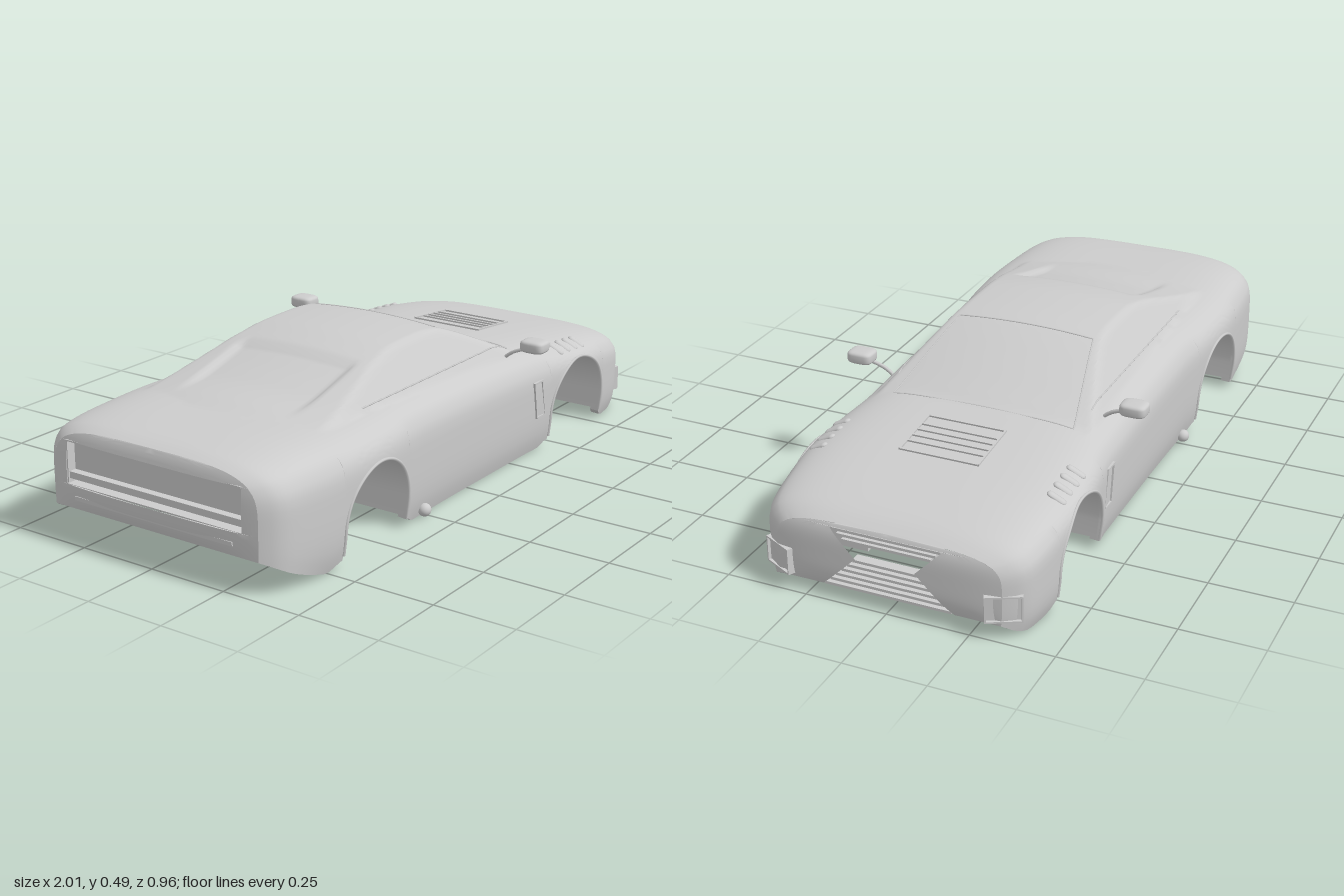
import * as THREE from 'three';
import { toCreasedNormals } from 'three/addons/utils/BufferGeometryUtils.js';

const { smoothstep, lerp } = THREE.MathUtils;

// Smooth curve through [x, value] points without overshoot
function curve(p) {
  const d = p.slice(1).map((q, i) => (q[1] - p[i][1]) / (q[0] - p[i][0]));
  const m = p.map((_, i) => i === 0 ? d[0] : i === p.length - 1 ? d[i - 1]
    : d[i - 1] * d[i] <= 0 ? 0 : 2 * d[i - 1] * d[i] / (d[i - 1] + d[i]));
  return (x) => {
    if (x <= p[0][0]) return p[0][1];
    if (x >= p[p.length - 1][0]) return p[p.length - 1][1];
    let i = 0;
    while (x > p[i + 1][0]) i++;
    const h = p[i + 1][0] - p[i][0], t = (x - p[i][0]) / h, u = 1 - t;
    return p[i][1] * (1 + 2 * t) * u * u + m[i] * h * t * u * u
      + p[i + 1][1] * t * t * (3 - 2 * t) - m[i + 1] * h * t * t * u;
  };
}

// Outlines along the length of the car
const END = 0.985, ARCH_R = 0.165, ARCH_Y = 0.1, ARCHES = [-0.53, 0.62];
const width = curve([[-END, 0.36], [-0.95, 0.398], [-0.9, 0.415], [-0.8, 0.425], [-0.6, 0.436], [-0.42, 0.426],
  [-0.28, 0.408], [0, 0.404], [0.36, 0.405], [0.5, 0.42], [0.64, 0.432], [0.8, 0.42], [0.9, 0.405], [0.95, 0.385], [END, 0.34]]);
const deck = curve([[-END, 0.35], [-0.95, 0.362], [-0.8, 0.373], [-0.5, 0.375], [0, 0.365], [0.38, 0.345],
  [0.6, 0.327], [0.8, 0.302], [0.9, 0.282], [0.95, 0.267], [END, 0.248]]);
const sill = curve([[-END, 0.108], [-0.9, 0.06], [-0.8, 0.02], [-0.75, 0.006], [-0.7, 0.025], [-0.36, 0.03], [-0.31, 0.006],
  [0.41, 0.006], [0.45, 0.03], [0.79, 0.03], [0.82, 0.004], [0.9, 0.004], [0.95, 0.018], [END, 0.045]]);
const roof = curve([[-0.8, 0.36], [-0.6, 0.395], [-0.45, 0.432], [-0.3, 0.472], [-0.18, 0.49], [-0.05, 0.492],
  [0.04, 0.485], [0.1, 0.467], [0.2, 0.427], [0.3, 0.383], [0.38, 0.347], [0.42, 0.32]]);

const waist = (x) => deck(x) * 0.55;
function bottom(x) {
  const c = ARCHES.find((a) => Math.abs(x - a) <= ARCH_R);
  return c === undefined ? sill(x) : ARCH_Y + Math.sqrt(Math.max(0, ARCH_R ** 2 - (x - c) ** 2));
}
// Half width of the side at a height
function sideZ(x, y) {
  const m = waist(x), w = width(x);
  if (y < m) return w * (1 - 0.05 * ((m - y) / m) ** 4);
  return w * Math.max(0, 1 - ((y - m) / (deck(x) - m)) ** 4) ** 0.25;
}
// Height of the upper surface: lower body joined with the cabin
function topY(x, z) {
  const m = waist(x), a = Math.abs(z);
  const body = m + (deck(x) - m) * Math.max(0, 1 - (a / width(x)) ** 4) ** 0.25;
  if (x < -0.8 || x > 0.42) return body;
  const recess = 0.014 * smoothstep(-x, 0.32, 0.36) * (1 - smoothstep(-x, 0.5, 0.66)) * (1 - smoothstep(a, 0.19, 0.215));
  const r = roof(x) - 0.012 * (a / 0.23) ** 2 - recess, s = 0.49 - (a - 0.23) * 1.44, k = 0.012;
  const h = Math.max(k - Math.abs(r - s), 0) / k;
  return Math.max(body, Math.min(r, s) - h * h * k / 4);
}

// Surface through rows of [x, y, z] points
function grid(rows, crease = 0.6) {
  const n = rows[0].length, idx = [];
  for (let i = 0; i < rows.length - 1; i++) for (let j = 0; j < n - 1; j++) {
    const a = i * n + j, b = a + n;
    idx.push(a, b, a + 1, b, b + 1, a + 1);
  }
  const g = new THREE.BufferGeometry();
  g.setAttribute('position', new THREE.Float32BufferAttribute(rows.flat(2), 3));
  g.setIndex(idx);
  return toCreasedNormals(g, crease);
}

function section(x) {
  const yb = bottom(x), yk = waist(x) + (deck(x) - waist(x)) * 0.7, zk = sideZ(x, yk);
  const half = [[x, yb + 0.002, sideZ(x, yb) - 0.03]];
  for (let i = 0; i <= 10; i++) { const y = lerp(yb, yk, i / 10); half.push([x, y, sideZ(x, y)]); }
  for (let i = 1; i <= 36; i++) { const z = zk * (1 - i / 36); half.push([x, topY(x, z), z]); }
  return [...half, ...half.slice(0, -1).reverse().map(([a, b, c]) => [a, b, -c])];
}

// Bulged end panel, with an opening of half width gap(y)
function endPanel(dir, ys, gap, side) {
  const x = dir * END, top = deck(x), low = sill(x);
  return grid(ys.map((y) => {
    const z1 = sideZ(x, y), z0 = Math.min(gap(y), z1), v = Math.abs(2 * (y - low) / (top - low) - 1);
    return Array.from({ length: 15 }, (_, i) => {
      const z = lerp(z0, z1, i / 14), u = z1 ? z / z1 : 1;
      return [x + dir * 0.015 * (1 - u ** 4) * (1 - v ** 4), y, z * side];
    });
  }));
}
const steps = (a, b, n) => Array.from({ length: n + 1 }, (_, i) => lerp(a, b, i / n));

export function createModel() {
  const car = new THREE.Group();
  car.name = 'carBody';
  const paint = new THREE.MeshStandardMaterial({ color: 0xcccccc, side: THREE.DoubleSide });
  paint.name = 'light grey';
  const add = (name, geo, x = 0, y = 0, z = 0) => {
    const m = new THREE.Mesh(geo, paint);
    m.name = name;
    m.position.set(x, y, z);
    car.add(m);
    return m;
  };
  const box = (name, w, h, d, x, y, z) => add(name, new THREE.BoxGeometry(w, h, d), x, y, z);
  const tube = (name, pts, r) => add(name, new THREE.TubeGeometry(
    new THREE.CatmullRomCurve3(pts.map((p) => new THREE.Vector3(...p))), pts.length * 2, r, 6));

  // Main shell, with extra sections around the wheel arches
  let xs = steps(-END, END, 90).filter((x) => ARCHES.every((c) => Math.abs(x - c) > ARCH_R + 0.004));
  for (const c of ARCHES) {
    for (let i = 0; i <= 28; i++) xs.push(c - (ARCH_R - 1e-6) * Math.cos(Math.PI * i / 28));
    xs.push(c - ARCH_R - 0.001, c + ARCH_R + 0.001);
  }
  xs.sort((a, b) => a - b);
  add('bodyShell', grid(xs.map(section)));

  // Nose with hourglass opening, tail with wide recess
  const grille = (y) => y > 0.2355 ? 0 : y < 0.155 ? lerp(0.2, 0.09, (y - 0.045) / 0.11) : lerp(0.09, 0.17, (y - 0.155) / 0.08);
  const noseRows = [...steps(0.045, 0.155, 8), ...steps(0.165, 0.235, 6), 0.236, 0.24, 0.244, 0.248];
  const tailGap = (y) => y > 0.18 && y < 0.31 ? 0.31 : 0;
  const tailRows = [...steps(0.108, 0.18, 5), ...steps(0.181, 0.309, 8), ...steps(0.31, 0.35, 8)];
  for (const s of [-1, 1]) {
    add('nosePanel', endPanel(1, noseRows, grille, s));
    add('tailPanel', endPanel(-1, tailRows, tailGap, s));
  }
  for (const y of [0.052, 0.07, 0.088, 0.106, 0.124, 0.142, 0.2, 0.215, 0.23])
    box('grilleSlat', 0.03, 0.008, 2 * grille(y), 0.975, y, 0);

  // Tail recess
  box('tailRecessBack', 0.008, 0.13, 0.62, -0.955, 0.245, 0);
  for (const y of [0.18, 0.31]) box('tailRecessEdge', 0.04, 0.004, 0.62, -0.972, y, 0);
  for (const z of [-0.31, 0.31]) box('tailRecessEnd', 0.035, 0.13, 0.004, -0.97, 0.245, z);
  box('tailBar', 0.025, 0.02, 0.62, -0.97, 0.205, 0);
  box('rearBumperStrip', 0.012, 0.012, 0.56, -0.99, 0.145, 0);

  // Hood vent: raised frame and slats lying on the hood
  const slope = Math.atan2(deck(0.66) - deck(0.48), 0.18);
  const onHood = (name, w, d, x, z) => {
    box(name, w, 0.008, d, x, topY(x, z) + 0.001, z).rotation.z = slope;
  };
  for (const z of [-0.122, 0.122]) onHood('hoodVentSide', 0.19, 0.006, 0.57, z);
  for (const x of [0.478, 0.525, 0.555, 0.586, 0.617, 0.662]) onHood('hoodVentSlat', 0.007, 0.244, x, 0);

  // Window seams
  const seam = (pts) => tube('windowSeam', pts.map(([x, z]) => [x, topY(x, z), z]), 0.0025);
  for (const x of [0.378, 0.06]) {
    const w = x > 0.2 ? 0.29 : 0.22;
    seam(steps(-w, w, 16).map((z) => [x, z]));
  }

  for (const s of [-1, 1]) {
    seam(steps(0, 1, 10).map((t) => [lerp(0.378, 0.06, t), s * lerp(0.29, 0.22, t)]));
    seam(steps(-0.45, 0.3, 16).map((x) => [x, s * 0.312]));

    // Wheel wells and arch trims
    for (const c of ARCHES) {
      const arc = steps(0, Math.PI, 28).map((a) => [c + ARCH_R * Math.cos(a), ARCH_Y + ARCH_R * Math.sin(a)]);
      const path = [[c + ARCH_R, 0.04], ...arc, [c - ARCH_R, 0.04]];
      add('wheelWell', grid(path.map(([x, y]) => [[x, y, s * (sideZ(x, y) - 0.012)], [x, y, s * 0.17]])));
      const wall = new THREE.Shape(path.map(([x, y]) => new THREE.Vector2(x, y)));
      add('wheelWellWall', new THREE.ShapeGeometry(wall), 0, 0, s * 0.17);
      tube('archTrim', path.map(([x, y]) => [x, y, s * sideZ(x, y)]), 0.005);
    }

    // Fender louvres
    for (const x of [0.553, 0.599, 0.645, 0.69]) {
      const l = add('fenderLouvre', new THREE.CapsuleGeometry(0.013, 0.036, 4, 10), x, topY(x, 0.37) - 0.003, s * 0.37);
      l.scale.set(1, 1, 0.6);
      l.rotation.x = Math.PI / 2 + s * 0.45;
    }

    // Side vent frame
    const vent = new THREE.Shape([[0.355, 0.243], [0.407, 0.243], [0.43, 0.12], [0.375, 0.12]].map((p) => new THREE.Vector2(...p)));
    vent.holes.push(new THREE.Path([[0.362, 0.237], [0.402, 0.237], [0.423, 0.126], [0.38, 0.126]].map((p) => new THREE.Vector2(...p))));
    add('sideVent', new THREE.ExtrudeGeometry(vent, { depth: 0.012, bevelEnabled: false }), 0, 0, s * 0.405 - 0.006);

    // Headlight frame, wrapped around the nose corner
    const lamp = new THREE.Group();
    lamp.name = 'headlight';
    lamp.position.set(0.971, 0.097, s * 0.338);
    lamp.rotation.y = -s * 0.46;
    for (const [w, h, d, x, y, z] of [[0.012, 0.076, 0.1, 0, 0, 0], [0.03, 0.005, 0.1, 0, 0.038, 0], [0.03, 0.005, 0.1, 0, -0.038, 0],
      [0.03, 0.08, 0.005, 0, 0, 0.05], [0.03, 0.08, 0.005, 0, 0, -0.05]]) lamp.add(box('headlightFrame', w, h, d, x, y, z));
    car.add(lamp);

    // Door mirror and stalk
    const head = new THREE.SphereGeometry(1, 24, 16), p = head.attributes.position, sq = (v) => Math.sign(v) * Math.abs(v) ** 0.5;
    for (let i = 0; i < p.count; i++) p.setXYZ(i, sq(p.getX(i)) * 0.034, sq(p.getY(i)) * 0.02, sq(p.getZ(i)) * 0.041);
    head.computeVertexNormals();
    add('mirror', head, 0.29, 0.39, s * 0.441);
    tube('mirrorStalk', [[0.28, 0.342, s * 0.345], [0.282, 0.36, s * 0.37], [0.288, 0.38, s * 0.42]], 0.006);

    // Side exhaust tip
    add('exhaustTip', new THREE.SphereGeometry(0.02, 20, 14), -0.265, 0.026, s * 0.405);
  }
  return car;
}
